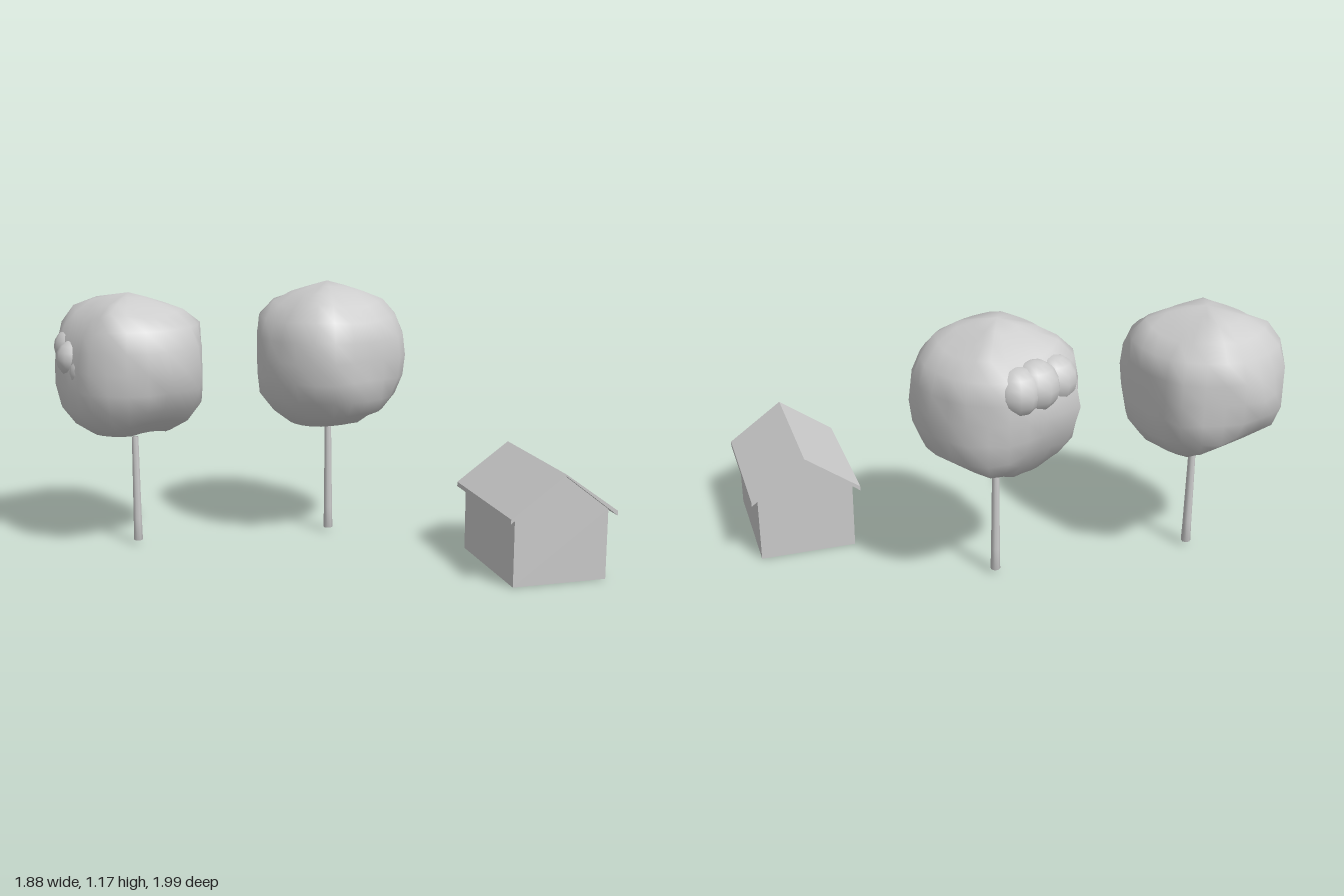
import * as THREE from 'three';
import { mergeVertices } from 'three/addons/utils/BufferGeometryUtils.js';

const material = new THREE.MeshStandardMaterial({ color: 0xcccccc, side: THREE.DoubleSide });

function part(name, geometry) {
  const mesh = new THREE.Mesh(geometry, material);
  mesh.name = name;
  return mesh;
}

// distance from the origin to a convex outline along (u, v)
function reach(outline, u, v) {
  let best = Infinity;
  outline.forEach(([px, py], i) => {
    const [qx, qy] = outline[(i + 1) % outline.length];
    const ex = qx - px, ey = qy - py;
    const t = (px * ey - py * ex) / (u * ey - v * ex);
    if (t > 0 && t < best) best = t;
  });
  return best;
}

// rounded crown: a ball trimmed by its front, side and top outlines
function crownGeometry([cx, cy, cz], front, side, top, cap) {
  const f = front.map(([x, y]) => [x - cx, y - cy]);
  const s = side.map(([z, y]) => [z - cz, y - cy]);
  const t = top.map(([x, z]) => [x - cx, z - cz]);
  let g = new THREE.SphereGeometry(1, 24, 12);
  g.deleteAttribute('uv');
  g.deleteAttribute('normal');
  g = mergeVertices(g, 1e-4);
  const p = g.attributes.position;
  for (let i = 0; i < p.count; i++) {
    const x = p.getX(i), y = p.getY(i), z = p.getZ(i);
    const r = Math.min(cap, reach(f, x, y), reach(s, z, y), reach(t, x, z));
    p.setXYZ(i, cx + x * r, cy + y * r, cz + z * r);
  }
  g.computeVertexNormals();
  return g;
}

function tree(name, { x, z, trunkTop, center, front, side, top, lumps }) {
  const group = new THREE.Group();
  group.name = name;

  // slim trunk with a short, wider foot
  const profile = [[0, 0.02], [0.021, 0.02], [0.019, 0.12], [0.015, trunkTop], [0, trunkTop]];
  const trunk = part('trunk', new THREE.LatheGeometry(profile.map((q) => new THREE.Vector2(...q)), 8));
  trunk.position.set(x, 0, z);
  group.add(trunk, part('crown', crownGeometry(center, front, side, top, 0.355)));

  // cluster of small leaf lumps on one side
  lumps.forEach(([lx, ly, lz, r]) => {
    const lump = part('leafLump', new THREE.SphereGeometry(r, 12, 8));
    lump.position.set(lx, ly, lz);
    group.add(lump);
  });
  return group;
}

function quads(corners) {
  const g = new THREE.BufferGeometry();
  const pos = corners.flatMap(([a, b, c, d]) => [a, b, c, a, c, d].flat());
  g.setAttribute('position', new THREE.Float32BufferAttribute(pos, 3));
  g.computeVertexNormals();
  return g;
}

function house() {
  const group = new THREE.Group();
  group.name = 'house';
  const a = 0.207, b = 0.275, eave = 0.302, ridge = 0.462;

  // walls, open underneath
  const walls = [];
  for (const s of [1, -1]) {
    walls.push([[s * a, 0, s * b], [s * a, 0, -s * b], [s * a, eave, -s * b], [s * a, eave, s * b]]);
  }
  group.add(part('sideWalls', quads(walls)));
  const gable = new THREE.Shape([[-a, 0], [a, 0], [a, eave], [0, ridge], [-a, eave]].map((q) => new THREE.Vector2(...q)));
  for (const s of [1, -1]) {
    const wall = part('gableWall', new THREE.ShapeGeometry(gable));
    wall.position.z = s * b;
    if (s < 0) wall.rotation.y = Math.PI;
    group.add(wall);
  }

  // pitched roof, thicker at the eaves
  const outline = [[-0.236, 0.28], [0, 0.462], [0.236, 0.28], [0.236, 0.3], [0, 0.47], [-0.236, 0.3]];
  const roof = new THREE.ExtrudeGeometry(
    new THREE.Shape(outline.map((q) => new THREE.Vector2(...q))),
    { depth: 0.61, bevelEnabled: false }
  );
  roof.translate(0, 0, -0.305);
  group.add(part('roof', roof));

  group.position.set(0.61, 0, 0.63);
  group.rotation.y = -0.368;
  return group;
}

export function createModel() {
  const model = new THREE.Group();
  model.name = 'houseWithTrees';

  model.add(house());

  model.add(tree('rightTree', {
    x: -0.625, z: -0.625, trunkTop: 0.495, center: [-0.625, 0.825, -0.645],
    front: [[-0.625, 1.14], [-0.8, 1.085], [-0.89, 0.96], [-0.925, 0.78], [-0.935, 0.62], [-0.8, 0.52],
      [-0.625, 0.515], [-0.45, 0.525], [-0.32, 0.62], [-0.32, 0.98], [-0.47, 1.08]],
    side: [[-0.625, 1.14], [-0.82, 1.105], [-0.93, 0.985], [-1, 0.8], [-0.905, 0.635], [-0.74, 0.52],
      [-0.5, 0.53], [-0.36, 0.65], [-0.285, 0.82], [-0.34, 1], [-0.48, 1.09]],
    top: [[-0.625, -1], [-0.815, -0.93], [-0.907, -0.82], [-0.93, -0.65], [-0.907, -0.46], [-0.8, -0.36],
      [-0.625, -0.285], [-0.447, -0.34], [-0.36, -0.47], [-0.32, -0.645], [-0.33, -0.82], [-0.457, -0.915]],
    lumps: [[-0.86, 0.86, -0.7, 0.085], [-0.84, 0.81, -0.62, 0.085], [-0.83, 0.9, -0.78, 0.085]],
  }));

  model.add(tree('middleTree', {
    x: 0.18, z: -0.275, trunkTop: 0.505, center: [0.18, 0.84, -0.28],
    front: [[0.18, 1.17], [0, 1.11], [-0.11, 1], [-0.155, 0.82], [-0.12, 0.64], [0, 0.525],
      [0.18, 0.52], [0.34, 0.58], [0.485, 0.64], [0.52, 0.83], [0.49, 1.01], [0.34, 1.1]],
    side: [[-0.275, 1.17], [-0.1, 1.12], [0.025, 0.98], [0.035, 0.8], [0.025, 0.64], [-0.11, 0.54],
      [-0.27, 0.52], [-0.44, 0.54], [-0.53, 0.66], [-0.59, 0.82], [-0.56, 0.98], [-0.46, 1.08]],
    top: [[0, -0.585], [0.18, -0.59], [0.34, -0.55], [0.46, -0.45], [0.52, -0.275], [0.49, -0.09],
      [0.37, 0.03], [0.18, 0.03], [0, 0.035], [-0.11, -0.1], [-0.155, -0.275], [-0.1, -0.43]],
    lumps: [[0.07, 0.95, -0.49, 0.1], [0.18, 0.955, -0.505, 0.105], [0.26, 0.95, -0.5, 0.1]],
  }));

  return model;
}
